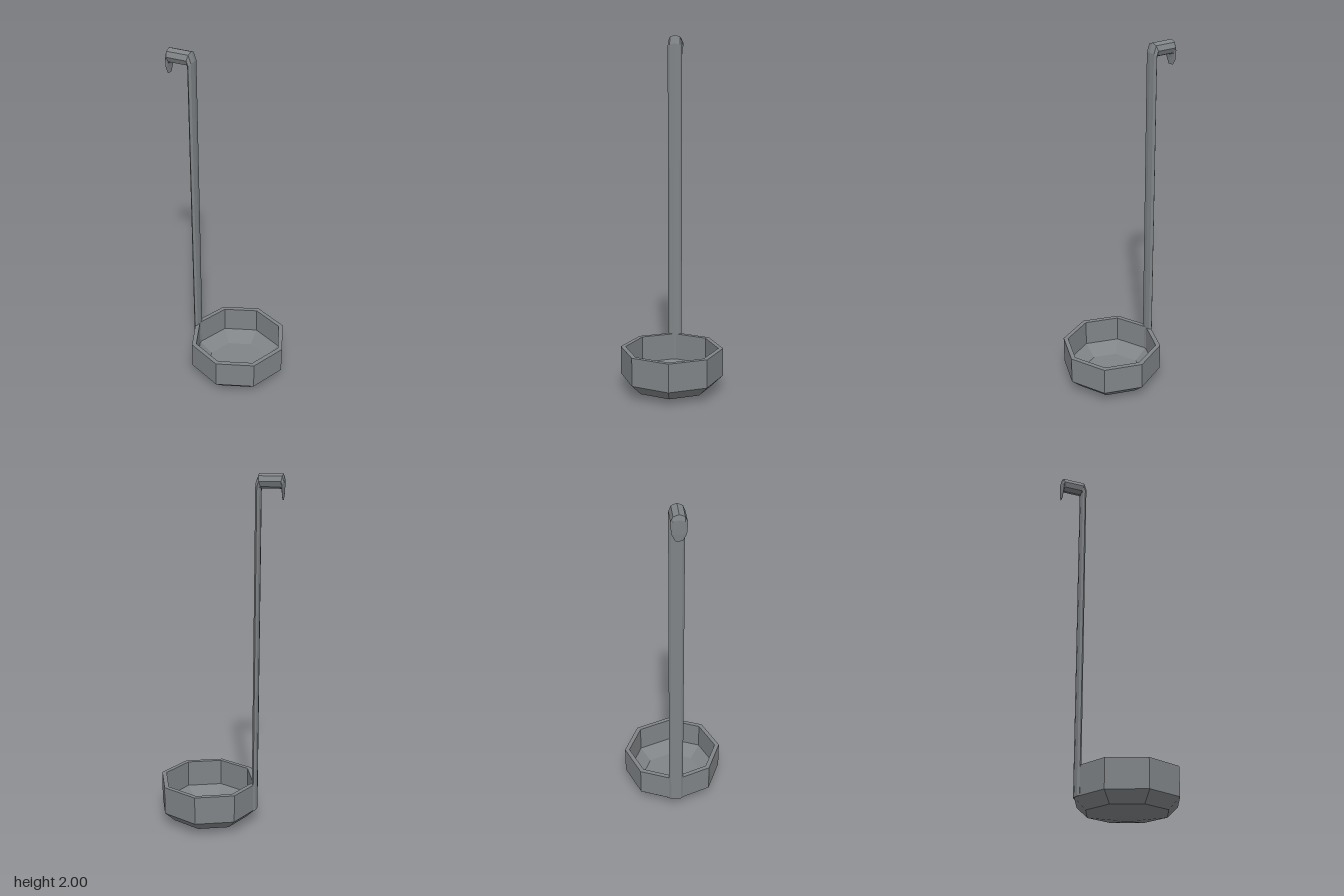
import * as THREE from 'three';

// Sweeps a flattened octagon through rings given as [outerX, outerY, innerX, innerY, halfWidth]
function sweep(rings, sides = 8) {
  const pos = [], idx = [];
  for (const [ox, oy, ix, iy, w] of rings) {
    for (let j = 0; j < sides; j++) {
      const a = (j / sides) * Math.PI * 2;
      const k = (1 + Math.cos(a)) / 2;
      pos.push(ix + (ox - ix) * k, iy + (oy - iy) * k, w * Math.sin(a));
    }
  }
  for (let i = 0; i < rings.length - 1; i++) {
    for (let j = 0; j < sides; j++) {
      const a = i * sides + j, b = i * sides + (j + 1) % sides;
      idx.push(a, a + sides, b, b, a + sides, b + sides);
    }
  }
  // end caps
  const last = (rings.length - 1) * sides;
  for (let j = 1; j < sides - 1; j++) {
    idx.push(0, j, j + 1, last, last + j + 1, last + j);
  }
  const geo = new THREE.BufferGeometry();
  geo.setAttribute('position', new THREE.Float32BufferAttribute(pos, 3));
  geo.setIndex(idx);
  geo.computeVertexNormals();
  return geo;
}

export function createModel() {
  const group = new THREE.Group();
  group.name = 'ladle';
  const steel = new THREE.MeshStandardMaterial({ color: 0x808487, flatShading: true });
  steel.name = 'grey steel';

  // Eight-sided bowl: outside from the base up, over the rim, down the inside
  const profile = [
    [0, 0], [0.07, 0.003], [0.227, 0.03], [0.29, 0.09], [0.29, 0.25],
    [0.263, 0.25], [0.263, 0.095], [0.185, 0.035], [0, 0.035],
  ].map(([r, y]) => new THREE.Vector2(r, y));
  const bowl = new THREE.Mesh(new THREE.LatheGeometry(profile, 8), steel);
  bowl.name = 'bowl';
  bowl.position.x = 0.062;
  group.add(bowl);

  // Handle: flat pole, bend, thick crossbar and a thin hooked tip
  const handle = new THREE.Mesh(sweep([
    [-0.197, 0.09, -0.228, 0.09, 0.041],
    [-0.197, 1.95, -0.228, 1.92, 0.041],
    [-0.214, 2.0, -0.23, 1.922, 0.041],
    [-0.345, 2.0, -0.334, 1.922, 0.041],
    [-0.352, 1.975, -0.338, 1.918, 0.041],
    [-0.35, 1.9, -0.341, 1.9, 0.037],
    [-0.347, 1.865, -0.343, 1.865, 0.018],
  ]), steel);
  handle.name = 'handle';
  group.add(handle);

  return group;
}
